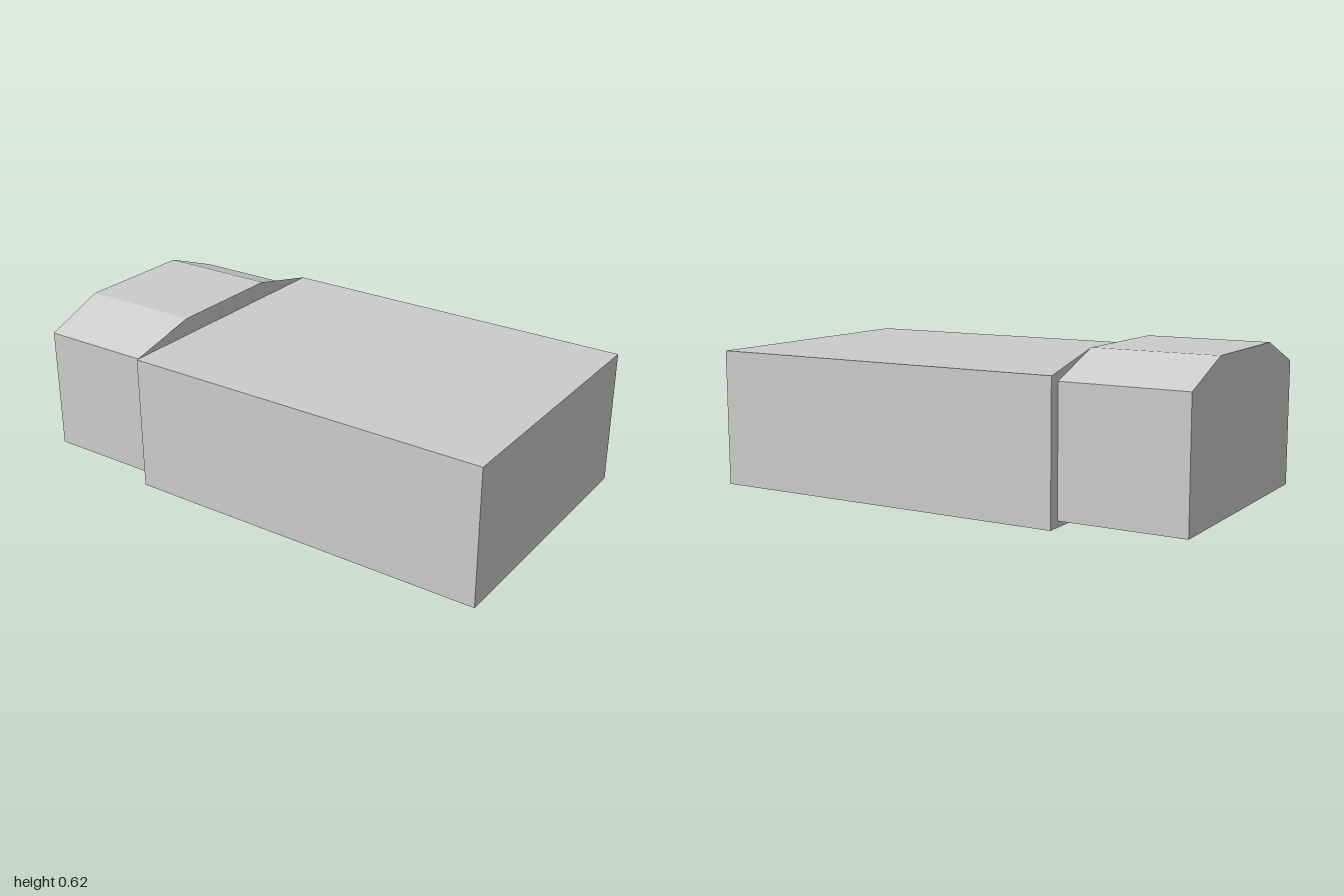
import * as THREE from 'three';

// Symmetric outline in the z-y plane from its +z half, listed bottom to top
function mirroredShape(half) {
  const other = half.map(([z, y]) => [-z, y]).reverse();
  return new THREE.Shape([...half, ...other].map(([z, y]) => new THREE.Vector2(z, y)));
}

export function createModel() {
  const group = new THREE.Group();
  const material = new THREE.MeshStandardMaterial({ color: 0xcccccc, flatShading: true });
  const thin = material.clone();
  thin.side = THREE.DoubleSide;
  const jointX = -0.5;

  function add(name, geometry, mat = material) {
    const mesh = new THREE.Mesh(geometry, mat);
    mesh.name = name;
    group.add(mesh);
  }

  // Long main block
  const body = new THREE.BoxGeometry(1.5, 0.55, 1.1);
  body.translate(0.25, 0.275, 0);
  add('mainBody', body);

  // Narrower end block with a chamfered top
  const cap = new THREE.ExtrudeGeometry(
    mirroredShape([[0.5, 0.025], [0.5, 0.525], [0.25, 0.62]]),
    { depth: 0.5, bevelEnabled: false }
  );
  cap.rotateY(-Math.PI / 2).translate(jointX, 0, 0);
  add('endCap', cap);

  // Thin gable plate joining the end block to the body's top edge
  const gable = new THREE.ShapeGeometry(mirroredShape([[0.55, 0.55], [0.25, 0.62]]));
  gable.rotateY(Math.PI / 2).translate(jointX, 0, 0);
  add('jointPlate', gable, thin);

  return group;
}
